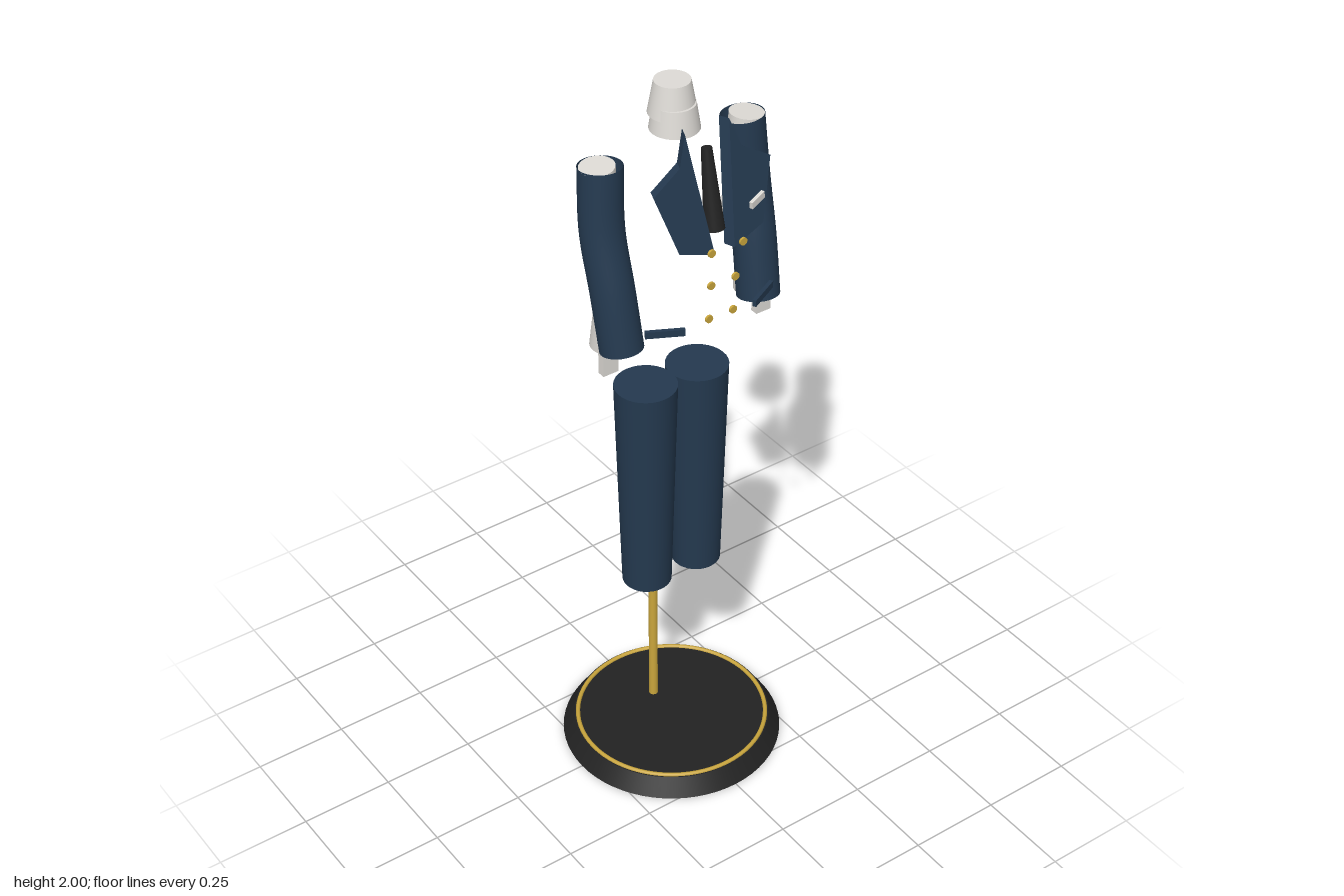
import * as THREE from 'three';

export function createModel() {
  const mat = (name, color, side = THREE.FrontSide) => {
    const m = new THREE.MeshStandardMaterial({ color, side });
    m.name = name;
    return m;
  };
  const navy = mat('navy cloth', 0x24394f, THREE.DoubleSide);
  const white = mat('off-white form', 0xdedbd6);
  const black = mat('black', 0x222222);
  const gold = mat('gold', 0xc9a53c);

  const root = new THREE.Group();
  root.name = 'suitOnStand';
  const V = (x, y, z) => new THREE.Vector3(x, y, z);

  function add(name, geometry, material, x = 0, y = 0, z = 0, parent = root) {
    const mesh = new THREE.Mesh(geometry, material);
    mesh.name = name;
    mesh.position.set(x, y, z);
    parent.add(mesh);
    return mesh;
  }

  // Tapered cylinder running from point a (top) to point b (bottom)
  function rod(name, a, b, ra, rb, material, parent = root) {
    const axis = a.clone().sub(b);
    const mid = a.clone().add(b).multiplyScalar(0.5);
    const mesh = add(name, new THREE.CylinderGeometry(ra, rb, axis.length(), 32), material, mid.x, mid.y, mid.z, parent);
    mesh.quaternion.setFromUnitVectors(V(0, 1, 0), axis.normalize());
    return mesh;
  }

  // Stand
  add('standBase', new THREE.CylinderGeometry(0.264, 0.295, 0.048, 64), black, 0, 0.024, 0);
  add('standRing', new THREE.TorusGeometry(0.255, 0.006, 8, 72), gold, 0, 0.048, 0).rotation.x = Math.PI / 2;
  rod('standPole', V(0, 1.045, -0.085), V(0, 0.04, -0.085), 0.012, 0.012, gold);

  // Neck and shirt collar
  rod('neck', V(0, 2, 0.003), V(0, 1.917, 0.003), 0.044, 0.059, white);
  rod('shirtCollar', V(0, 1.945, 0.012), V(0, 1.88, 0.012), 0.051, 0.061, white);

  // Tie
  rod('tie', V(0, 1.885, 0.136), V(0, 1.685, 0.17), 0.013, 0.025, black);

  // Lapel outline, extruded and leaned back toward the neck
  const outline = [[0.028, 1.645], [0.12, 1.673], [0.165, 1.82], [0.087, 1.868], [0.062, 1.94]];
  const lapelShape = new THREE.Shape(outline.map(([x, y]) => new THREE.Vector2(x, y)));
  const lapelGeo = new THREE.ExtrudeGeometry(lapelShape, { depth: 0.026, bevelEnabled: false });
  const p = lapelGeo.attributes.position;
  for (let i = 0; i < p.count; i++) {
    const x = p.getX(i), y = p.getY(i), back = 0.026 - p.getZ(i);
    p.setXYZ(i, x - back * 0.4, y, 0.211 - 0.24 * (y - 1.645) - 0.06 * (x - 0.028) - back);
  }
  lapelGeo.computeVertexNormals();

  const sleevePath = new THREE.CatmullRomCurve3([
    V(0.202, 1.843, 0.003), V(0.21, 1.68, 0.018), V(0.207, 1.53, 0.052), V(0.202, 1.378, 0.08),
  ]);
  const sleeveGeo = new THREE.TubeGeometry(sleevePath, 24, 0.054, 32);
  const buttonGeo = new THREE.CylinderGeometry(0.01, 0.01, 0.006, 20).rotateX(Math.PI / 2);

  // Mirrored halves
  for (const [label, s] of [['left', 1], ['right', -1]]) {
    const half = new THREE.Group();
    half.name = label + 'Half';
    half.scale.x = s;
    root.add(half);

    rod('trouserLeg', V(0.078, 1.175, 0), V(0.078, 0.56, 0), 0.08, 0.064, navy, half);
    add('sleeve', sleeveGeo, navy, 0, 0, 0, half);
    rod('upperArm', V(0.213, 1.846, 0.006), V(0.19, 1.57, 0.003), 0.043, 0.039, white, half);
    rod('forearm', V(0.205, 1.56, 0.056), V(0.213, 1.359, 0.019), 0.04, 0.034, white, half);
    add('hand', new THREE.BoxGeometry(0.043, 0.09, 0.021), white, 0.227, 1.354, 0.06, half);
    add('lapel', lapelGeo, navy, 0, 0, 0, half);
    add('pocketFlap', new THREE.BoxGeometry(0.095, 0.018, 0.01), navy, 0.143, 1.451, 0.174, half).rotation.y = 0.48;

    // Double-breasted buttons
    for (const [x, y, z] of [[0.045, 1.66, 0.221], [0.035, 1.56, 0.207], [0.035, 1.463, 0.2]])
      add('button', buttonGeo, gold, x, y, z, half);
  }

  // Pocket square on the left chest
  add('pocketSquare', new THREE.BoxGeometry(0.05, 0.018, 0.009), white, 0.099, 1.742, 0.2).rotation.set(0, 0.33, 0.15);

  return root;
}
